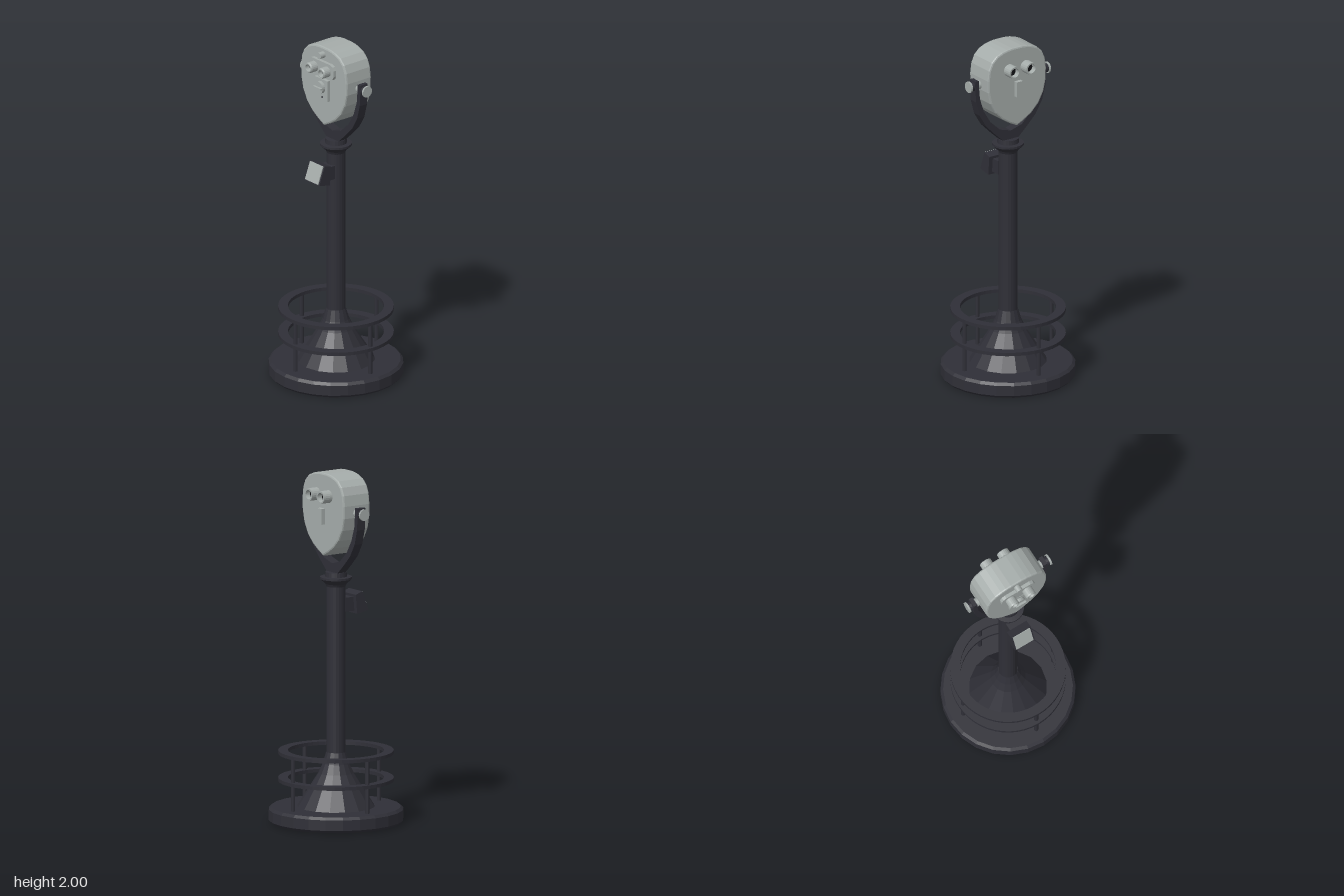
import * as THREE from 'three';

const mat = (name, color) => {
  const m = new THREE.MeshStandardMaterial({ color, flatShading: true });
  m.name = name;
  return m;
};

export function createModel() {
  const iron = mat('dark iron', 0x2f2f37);
  const grey = mat('grey enamel', 0xa5acaa);
  const glass = mat('black glass', 0x131316);
  const root = new THREE.Group();

  const add = (name, geo, m, x = 0, y = 0, z = 0) => {
    const mesh = new THREE.Mesh(geo, m);
    mesh.name = name;
    mesh.position.set(x, y, z);
    root.add(mesh);
    return mesh;
  };
  const V = (pts) => pts.map(([x, y]) => new THREE.Vector2(x, y));
  const lathe = (pts, n) => new THREE.LatheGeometry(V(pts), n);
  const box = (w, h, d) => new THREE.BoxGeometry(w, h, d);
  const disc = (r, d, n = 20) => new THREE.CylinderGeometry(r, r, d, n).rotateX(Math.PI / 2);
  // solid of the given outline, centred in depth
  const slab = (shape, depth, bevel = 0) => {
    const g = new THREE.ExtrudeGeometry(shape, {
      depth: depth - 2 * bevel, bevelEnabled: bevel > 0, bevelSize: bevel,
      bevelThickness: bevel, bevelOffset: -bevel, bevelSegments: 2, curveSegments: 8,
    });
    return g.translate(0, 0, -depth / 2 + bevel);
  };

  // Base and flared column
  add('base', lathe([[0, 0], [0.365, 0], [0.38, 0.015], [0.38, 0.075], [0.365, 0.09], [0, 0.09]], 24), iron);
  add('flare', lathe([[0.22, 0.09], [0.1, 0.28], [0.075, 0.335], [0.056, 0.4]], 16), iron);
  add('pole', lathe([[0.053, 0.38], [0.053, 1.36]], 20), iron);
  add('collar', lathe([[0.053, 1.345], [0.06, 1.36], [0.09, 1.388], [0.09, 1.4], [0.062, 1.402],
    [0.06, 1.428], [0, 1.428]], 24), iron);

  // Foot guard: two flat hoops on four posts
  for (const y of [0.235, 0.39]) {
    add('guardHoop', lathe([[0.27, y], [0.325, y], [0.325, y + 0.02], [0.27, y + 0.02], [0.27, y]], 48), iron);
  }
  for (let i = 0; i < 4; i++) {
    const a = i * Math.PI / 2;
    add('guardPost', new THREE.CylinderGeometry(0.012, 0.012, 0.31, 10), iron,
      0.298 * Math.cos(a), 0.245, 0.298 * Math.sin(a));
  }

  // Sloping sign on the column
  add('signBracket', box(0.08, 0.08, 0.07), iron, 0, 1.24, 0.075);
  const wedge = new THREE.Shape(V([[-0.09, 1.295], [-0.137, 1.31], [-0.178, 1.2], [-0.1, 1.185]]));
  add('signHousing', slab(wedge, 0.13).rotateY(Math.PI / 2), iron);
  const sign = add('signPlate', box(0.112, 0.108, 0.008), grey, 0, 1.256, 0.159);
  sign.rotation.x = -Math.atan2(0.041, 0.11);

  // Yoke
  const right = [[0.05, 1.425], [0.11, 1.48], [0.17, 1.54], [0.215, 1.615], [0.238, 1.7], [0.245, 1.8], [0.243, 1.825]];
  const inner = [[0.22, 1.825], [0.219, 1.79], [0.212, 1.715], [0.186, 1.635], [0.14, 1.56], [0.075, 1.5]];
  const half = [...right, ...inner];
  const mirror = (pts) => pts.map(([x, y]) => [-x, y]).reverse();
  add('yoke', slab(new THREE.Shape(V([...half, [0, 1.478], ...mirror(half)])), 0.054), iron);

  // Pivots
  for (const s of [-1, 1]) {
    const pin = (name, r, x0, x1, m) => add(name,
      new THREE.CylinderGeometry(r, r, x1 - x0, 20).rotateZ(Math.PI / 2), m, s * (x0 + x1) / 2, 1.79, 0);
    pin('pivotPin', 0.025, 0.18, 0.222, grey);
    pin('pivotNut', 0.027, 0.24, 0.265, iron);
    pin('pivotCap', 0.033, 0.263, 0.274, grey);
  }

  // Viewer head
  const side = [[0.05, 1.552], [0.1, 1.584], [0.148, 1.632], [0.182, 1.695], [0.198, 1.765], [0.2, 1.835],
    [0.192, 1.895], [0.172, 1.94], [0.138, 1.972], [0.1, 1.988], [0.068, 1.996], [0.035, 2]];
  add('head', slab(new THREE.Shape(V([[0, 1.527], ...side, ...mirror(side)])), 0.184, 0.01), grey);

  // Eyepiece plate with clipped corners
  const corner = [[0.08, -0.047], [0.1, -0.038], [0.11, -0.018], [0.11, 0.018], [0.1, 0.038], [0.08, 0.047]];
  add('eyepiecePlate', slab(new THREE.Shape(V([...corner, ...mirror(corner)])), 0.03), grey, 0, 1.875, 0.097);

  // Hollow eyepieces in front, hollow objectives behind
  for (const s of [-1, 1]) {
    add('eyepiece', lathe([[0.031, 0.1], [0.031, 0.152], [0.027, 0.16], [0.021, 0.16], [0.018, 0.13]], 20)
      .rotateX(Math.PI / 2), grey, s * 0.055, 1.875, 0);
    add('eyepieceGlass', disc(0.02, 0.006), glass, s * 0.055, 1.875, 0.13);
    add('objective', lathe([[0.036, 0.085], [0.036, 0.15], [0.027, 0.15], [0.025, 0.115]], 20)
      .rotateX(-Math.PI / 2), grey, s * 0.057, 1.875, 0);
    add('objectiveGlass', disc(0.027, 0.006), glass, s * 0.057, 1.875, -0.117);
  }

  // Top button, coin plate, dial and rear latch
  add('topButton', disc(0.019, 0.045), grey, 0, 1.957, 0.105);
  add('coinPlate', box(0.112, 0.125, 0.03), grey, 0, 1.752, 0.095);
  add('coinDial', disc(0.036, 0.03), grey, 0, 1.765, 0.114);
  add('coinDialGrip', box(0.066, 0.01, 0.016), grey, 0, 1.765, 0.134);
  add('coinScrew', disc(0.005, 0.01, 10), iron, 0.012, 1.708, 0.109);
  add('rearLatch', box(0.042, 0.09, 0.035), grey, 0, 1.755, -0.099);

  return root;
}
